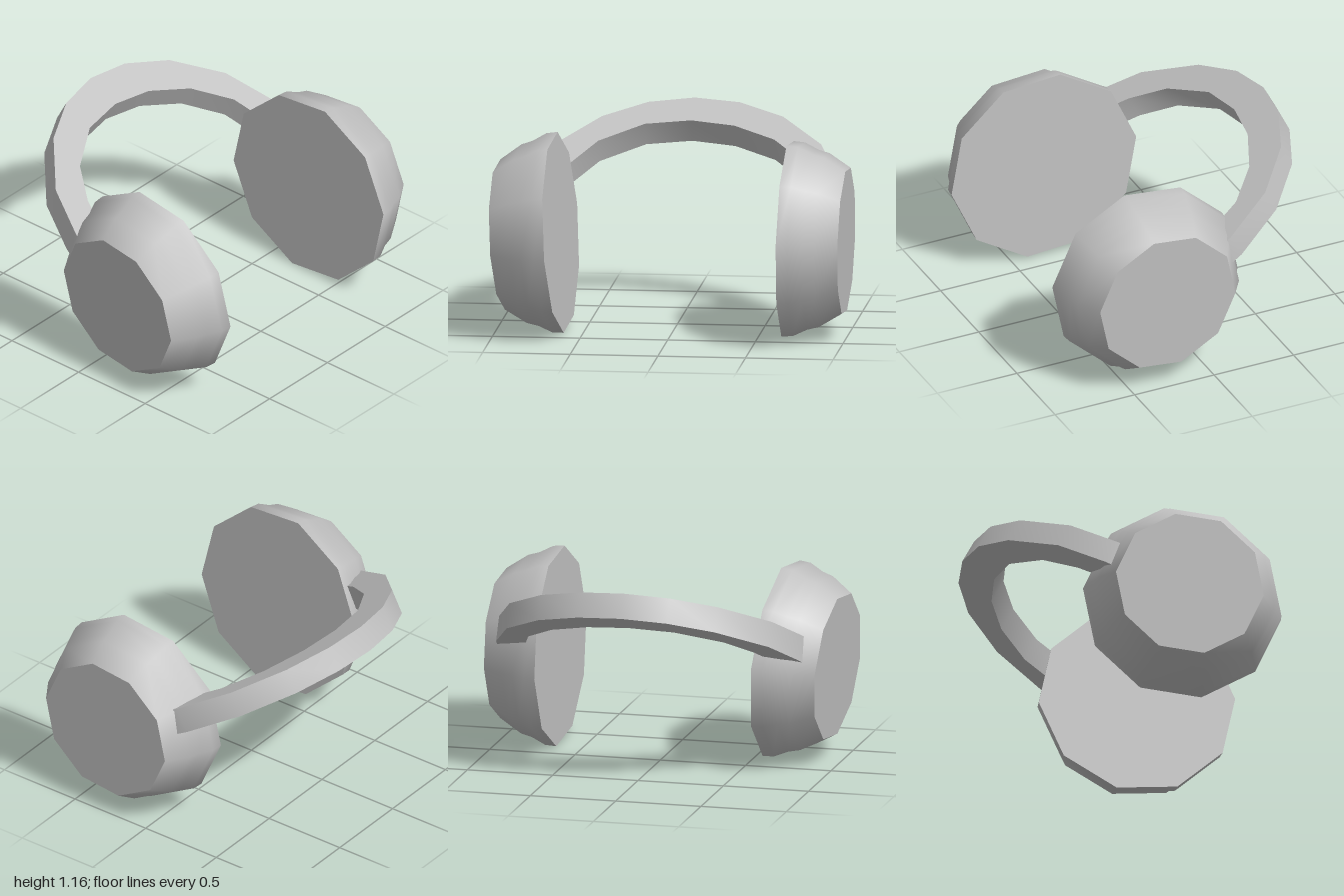
import * as THREE from 'three';
import { toCreasedNormals } from 'three/addons/utils/BufferGeometryUtils.js';

const grey = new THREE.MeshStandardMaterial({ color: 0xc0c0c0 });
grey.name = 'light grey';

// Ten-sided ear cup, revolved around its own outward axis
function earCup(name, centre, outward) {
  const profile = [[0, 0], [0.57, 0], [0.565, 0.065], [0.525, 0.145], [0.507, 0.21], [0.426, 0.335], [0, 0.335]]
    .map(([r, h]) => new THREE.Vector2(r, h));
  const lathe = new THREE.LatheGeometry(profile, 10, THREE.MathUtils.degToRad(-6));
  const cup = new THREE.Mesh(toCreasedNormals(lathe, THREE.MathUtils.degToRad(45)), grey);
  const axis = new THREE.Vector3(...outward).normalize();
  const side = new THREE.Vector3().crossVectors(axis, new THREE.Vector3(0, 0, 1)).normalize();
  const front = new THREE.Vector3().crossVectors(side, axis);
  cup.quaternion.setFromRotationMatrix(new THREE.Matrix4().makeBasis(side, axis, front));
  cup.position.set(...centre);
  cup.name = name;
  return cup;
}

// Flat arched band, extruded and leaned backwards
function headband() {
  const outer = [[0.92, 0.05], [0.905, 0.17], [0.77, 0.49], [0.53, 0.733], [0.27, 0.856], [0.01, 0.89],
    [-0.25, 0.842], [-0.5, 0.705], [-0.755, 0.435], [-0.87, 0.15], [-0.89, 0.05]];
  const inner = [[-0.72, 0.05], [-0.635, 0.28], [-0.5, 0.48], [-0.25, 0.642], [0.01, 0.682],
    [0.26, 0.642], [0.5, 0.523], [0.68, 0.33], [0.77, 0.05]];
  const shape = new THREE.Shape([...outer, ...inner].map(([x, y]) => new THREE.Vector2(x, y)));
  const depth = 0.148;
  const geometry = new THREE.ExtrudeGeometry(shape, { depth, bevelEnabled: false }).translate(0, 0, -depth);
  const band = new THREE.Mesh(toCreasedNormals(geometry, THREE.MathUtils.degToRad(40)), grey);
  band.rotation.x = THREE.MathUtils.degToRad(-62);
  band.position.y = 0.744;
  band.name = 'headband';
  return band;
}

export function createModel() {
  const model = new THREE.Group();
  model.name = 'headphones';
  model.add(
    earCup('leftEarCup', [0.66, 0.56, 0.285], [1, -0.014, 0.01]),
    earCup('rightEarCup', [-0.635, 0.57, 0.285], [-1, -0.068, -0.062]),
    headband(),
  );
  return model;
}
